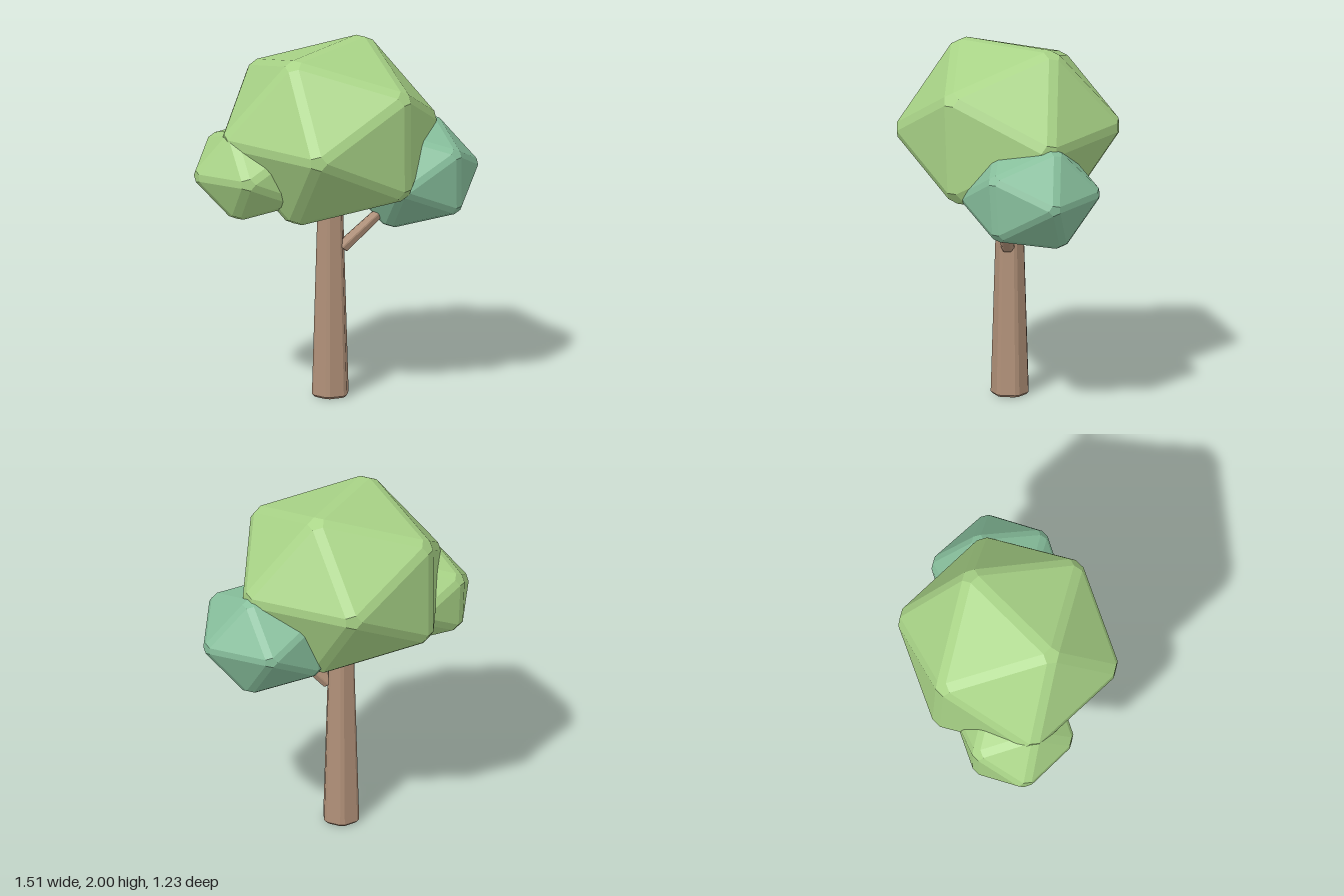
import * as THREE from 'three';
import { ConvexGeometry } from 'three/addons/geometries/ConvexGeometry.js';

const V = (x, y, z) => new THREE.Vector3(x, y, z);

function material(color) {
  return new THREE.MeshStandardMaterial({ color, flatShading: true });
}

// Icosahedron with its poles on z, every edge and corner chamfered
function chamferedIcosahedron(bevel) {
  const corners = [V(0, 0, 1), V(0, 0, -1)];
  for (let i = 0; i < 5; i++) {
    const a = Math.PI + (i * 2 * Math.PI) / 5;
    const x = 0.894 * Math.cos(a), y = 0.894 * Math.sin(a);
    corners.push(V(x, y, 0.447), V(-x, -y, -0.447));
  }
  const near = (a, b) => a.distanceTo(b) < 1.2;
  const points = [];
  for (let i = 0; i < 12; i++)
    for (let j = i + 1; j < 12; j++)
      for (let k = j + 1; k < 12; k++) {
        const [a, b, c] = [corners[i], corners[j], corners[k]];
        if (!near(a, b) || !near(b, c) || !near(a, c)) continue;
        const centre = a.clone().add(b).add(c).divideScalar(3);
        for (const p of [a, b, c]) points.push(p.clone().lerp(centre, bevel));
      }
  return points;
}

function foliage(name, color, position, scale, rotation, bevel) {
  const size = V(...scale);
  const points = chamferedIcosahedron(bevel).map((p) => p.multiply(size));
  const mesh = new THREE.Mesh(new ConvexGeometry(points), material(color));
  mesh.name = name;
  mesh.position.set(...position);
  mesh.rotation.set(...rotation);
  return mesh;
}

// Tapered six-sided post with chamfered edges, running from one point to another
function post(name, color, from, to, r0, r1) {
  const length = from.distanceTo(to);
  const chamfer = r0 * 0.12;
  const rings = [
    [0, r0 - chamfer], [chamfer, r0],
    [length - chamfer, r1], [length, r1 - chamfer],
  ];
  const points = [];
  for (const [y, r] of rings)
    for (let i = 0; i < 6; i++)
      for (const side of [-0.12, 0.12]) {
        const a = (i * Math.PI) / 3 + side;
        points.push(V(r * Math.sin(a), y, r * Math.cos(a)));
      }
  const mesh = new THREE.Mesh(new ConvexGeometry(points), material(color));
  mesh.name = name;
  mesh.position.copy(from);
  mesh.quaternion.setFromUnitVectors(V(0, 1, 0), to.clone().sub(from).normalize());
  return mesh;
}

export function createModel() {
  const tree = new THREE.Group();
  tree.name = 'tree';
  const bark = 0xb09078, green = 0xa9d487, teal = 0x87bf9c;

  // Trunk and side branch
  tree.add(post('trunk', bark, V(-0.025, 0, -0.01), V(-0.025, 1.4, -0.01), 0.105, 0.064));
  tree.add(post('branch', bark, V(0.045, 0.855, -0.007), V(0.4, 1.21, -0.007), 0.037, 0.026));

  // Crown and the two smaller clumps
  tree.add(foliage('mainCrown', green, [-0.03, 1.522, 0], [0.655, 0.566, 0.65], [0.035, 0.035, 0], 0.16));
  tree.add(foliage('rightClump', green, [-0.425, 1.325, 0.15], [0.375, 0.305, 0.355], [0, 0.02, 0.04], 0.24));
  tree.add(foliage('leftClump', teal, [0.403, 1.255, -0.175], [0.408, 0.335, 0.405], [0.06, 0.01, 0], 0.19));
  return tree;
}
